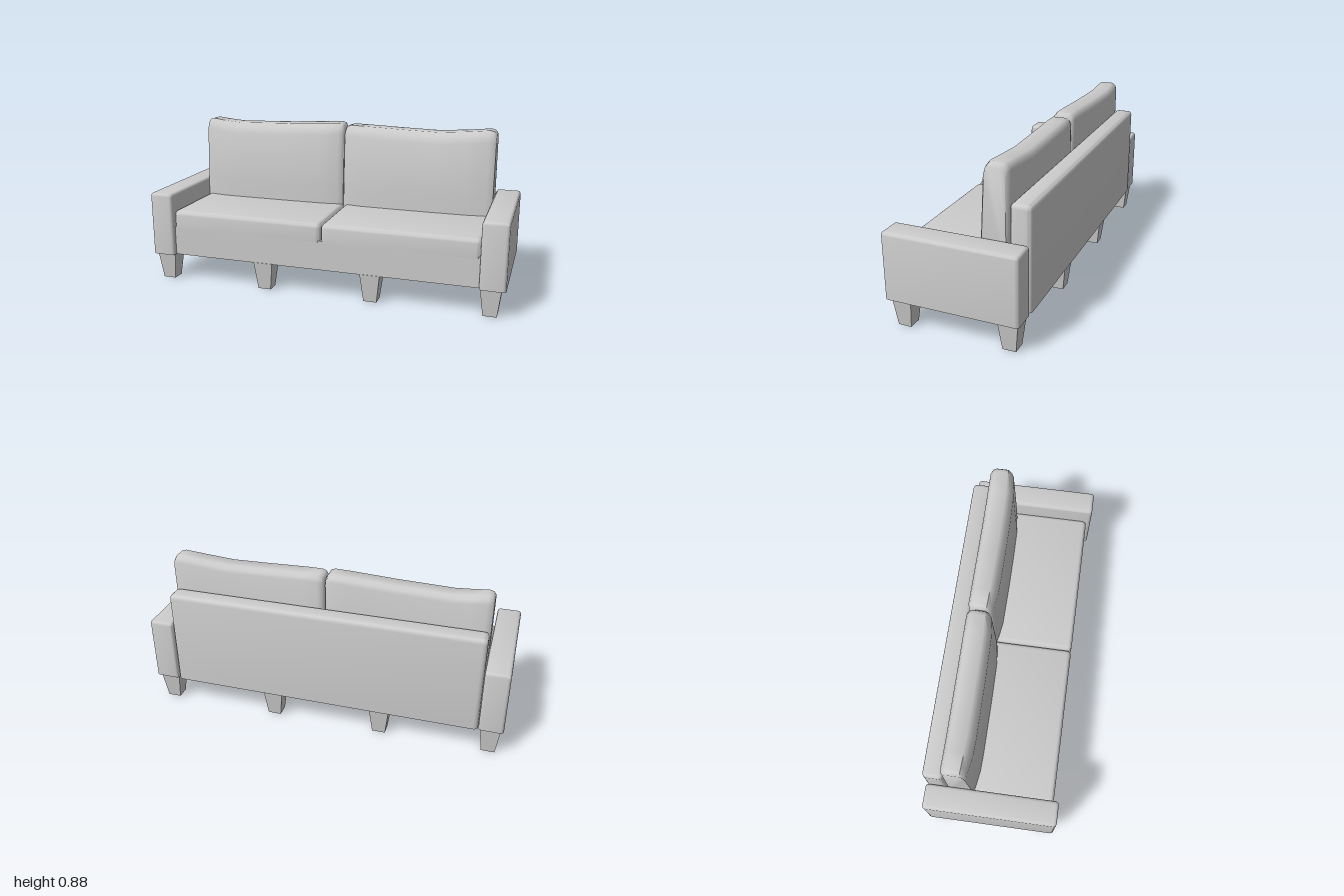
import * as THREE from 'three';
import { RoundedBoxGeometry } from 'three/addons/geometries/RoundedBoxGeometry.js';
import { toCreasedNormals } from 'three/addons/utils/BufferGeometryUtils.js';

const material = new THREE.MeshStandardMaterial({ color: 0xcccccc });

function addMesh(group, name, geometry) {
  const mesh = new THREE.Mesh(geometry, material);
  mesh.name = name;
  group.add(mesh);
  return mesh;
}

// Block between two corners: soft top and upright edges, flat underside
function softBlock([x0, y0, z0], [x1, y1, z1], r) {
  const geo = new RoundedBoxGeometry(x1 - x0, y1 - y0 + r, z1 - z0, 2, r);
  geo.translate((x0 + x1) / 2, (y0 - r + y1) / 2, (z0 + z1) / 2);
  const pos = geo.attributes.position;
  for (let i = 0; i < pos.count; i++) pos.setY(i, Math.max(pos.getY(i), y0));
  return toCreasedNormals(geo, 0.8);
}

// Back cushion lofted along x; each station is [x, top height, front inset, back inset]
function backCushion(stations) {
  const vertices = [];
  const indices = [];
  for (const [x, h, f, b] of stations) {
    const section = [
      [-0.25 + b, 0.39], [-0.25 + b, h - 0.035], [-0.242 + b, h - 0.014], [-0.225 + b, h],
      [-0.145 - f * 0.3, h], [-0.12 - f * 0.6, h - 0.025], [-0.102 - f, h - 0.062],
      [-0.085 - f, 0.515], [-0.081 - f, 0.39],
    ];
    for (const [z, y] of section) vertices.push(x, y, z);
  }
  const n = 9;
  const last = (stations.length - 1) * n;
  for (let s = 0; s < stations.length - 1; s++) {
    for (let j = 0; j < n; j++) {
      const a = s * n + j, b = s * n + (j + 1) % n;
      indices.push(a, b, a + n, b, b + n, a + n);
    }
  }
  for (let j = 1; j < n - 1; j++) {
    indices.push(0, j + 1, j, last, last + j, last + j + 1);
  }
  const geo = new THREE.BufferGeometry();
  geo.setAttribute('position', new THREE.Float32BufferAttribute(vertices, 3));
  geo.setIndex(indices);
  return toCreasedNormals(geo, 0.85);
}

// Square leg tapering towards the floor
function legGeometry() {
  const geo = new THREE.BoxGeometry(0.11, 0.157, 0.105);
  const pos = geo.attributes.position;
  for (let i = 0; i < pos.count; i++) {
    if (pos.getY(i) < 0) pos.setXYZ(i, pos.getX(i) * 0.66, pos.getY(i), pos.getZ(i) * 0.67);
  }
  geo.translate(0, 0.0785, 0);
  return toCreasedNormals(geo, 0.5);
}

export function createModel() {
  const sofa = new THREE.Group();
  sofa.name = 'sofa';

  // Frame
  const base = addMesh(sofa, 'base', new THREE.BoxGeometry(1.75, 0.165, 0.64));
  base.position.set(0, 0.2375, 0.006);
  addMesh(sofa, 'backrest', softBlock([-0.865, 0.155, -0.357], [0.858, 0.7, -0.25], 0.025));
  addMesh(sofa, 'rightArm', softBlock([-1, 0.155, -0.354], [-0.867, 0.515, 0.354], 0.018));
  addMesh(sofa, 'leftArm', softBlock([0.863, 0.155, -0.354], [1, 0.515, 0.354], 0.018));

  // Seat cushions
  addMesh(sofa, 'rightSeatCushion', softBlock([-0.868, 0.312, -0.25], [0.008, 0.415, 0.329], 0.025));
  addMesh(sofa, 'leftSeatCushion', softBlock([0.012, 0.312, -0.25], [0.864, 0.415, 0.329], 0.025));

  // Back cushions with sagging tops and softened ends
  addMesh(sofa, 'rightBackCushion', backCushion([
    [-0.868, 0.857, 0.028, 0.014], [-0.856, 0.871, 0.02, 0.005], [-0.835, 0.877, 0.015, 0],
    [-0.75, 0.867, 0.003, 0], [-0.66, 0.86, 0, 0], [-0.35, 0.869, 0, 0], [-0.12, 0.881, 0.003, 0],
    [-0.03, 0.885, 0.014, 0], [-0.01, 0.879, 0.02, 0.005], [0.002, 0.86, 0.03, 0.018],
  ]));
  addMesh(sofa, 'leftBackCushion', backCushion([
    [0.006, 0.85, 0.03, 0.018], [0.018, 0.869, 0.02, 0.005], [0.04, 0.876, 0.014, 0],
    [0.12, 0.874, 0.003, 0], [0.35, 0.866, 0, 0], [0.55, 0.861, 0, 0], [0.72, 0.874, 0.003, 0],
    [0.83, 0.885, 0.015, 0], [0.854, 0.878, 0.02, 0.005], [0.866, 0.862, 0.028, 0.014],
  ]));

  // Legs, four along the front and four along the back
  const leg = legGeometry();
  for (const z of [0.276, -0.288]) {
    for (const x of [-0.93, -0.328, 0.286, 0.922]) {
      addMesh(sofa, z > 0 ? 'frontLeg' : 'backLeg', leg).position.set(x, 0, z);
    }
  }
  return sofa;
}
